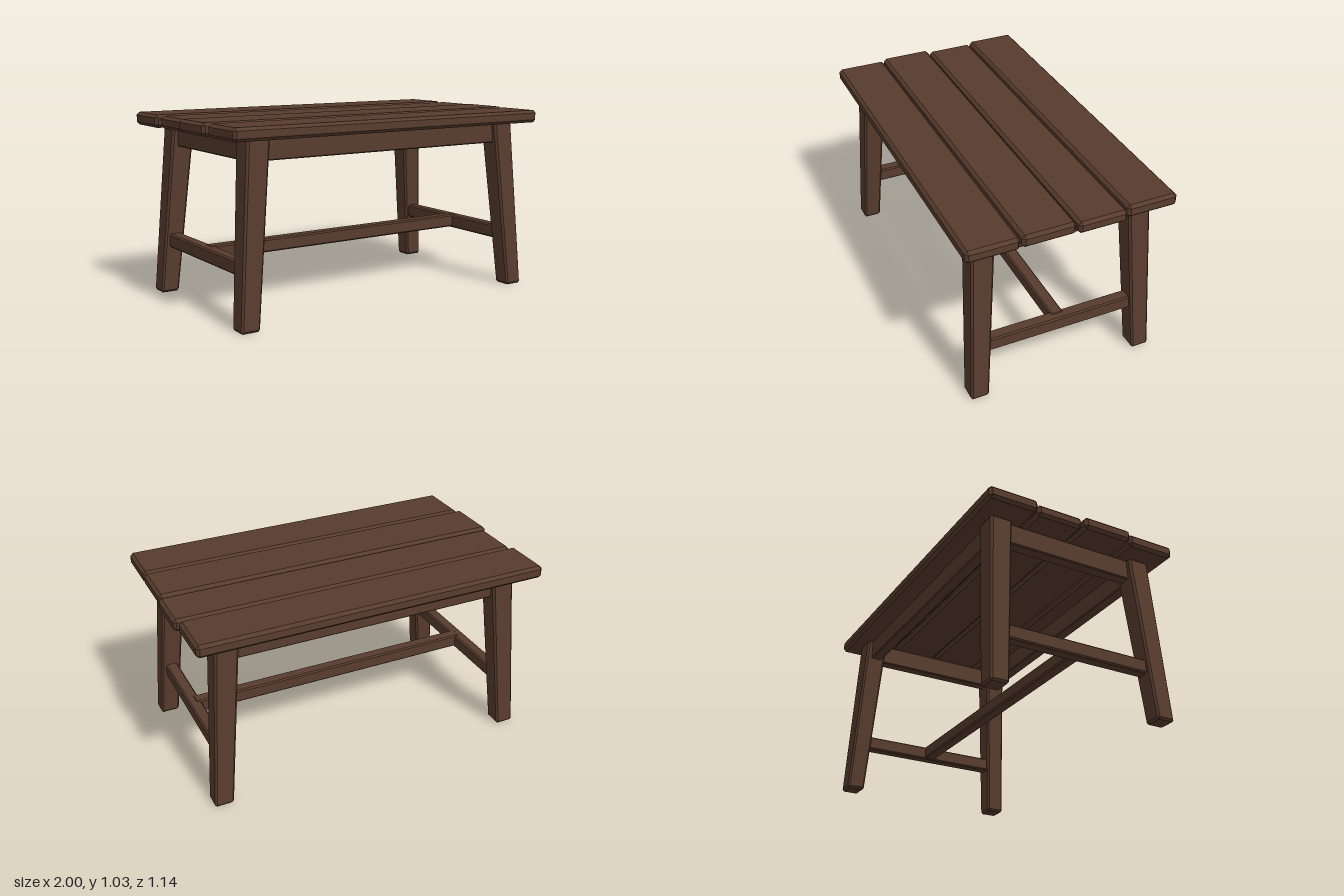
import * as THREE from 'three';
import { ConvexGeometry } from 'three/addons/geometries/ConvexGeometry.js';

const wood = new THREE.MeshStandardMaterial({ color: 0x583c2e });
wood.name = 'dark brown wood';

// Box with chamfered edges; an optional rule moves each corner point
function beam(name, [x0, x1], [y0, y1], [z0, z1], c, rule) {
  const half = [(x1 - x0) / 2, (y1 - y0) / 2, (z1 - z0) / 2];
  const centre = new THREE.Vector3((x0 + x1) / 2, (y0 + y1) / 2, (z0 + z1) / 2);
  const points = [];
  for (const sx of [-1, 1]) for (const sy of [-1, 1]) for (const sz of [-1, 1]) {
    for (let face = 0; face < 3; face++) {
      const h = half.map((v, i) => (i === face ? v : v - c));
      const p = new THREE.Vector3(sx * h[0], sy * h[1], sz * h[2]).add(centre);
      if (rule) rule(p);
      points.push(p);
    }
  }
  const mesh = new THREE.Mesh(new ConvexGeometry(points), wood);
  mesh.name = name;
  return mesh;
}

export function createModel() {
  const table = new THREE.Group();
  table.name = 'plankTable';

  // Four slightly uneven top planks: x range, y range, z range
  const planks = [
    [[-1, 0.98], [0.957, 1.028], [-0.572, -0.29]],
    [[-0.98, 1], [0.957, 1.024], [-0.28, -0.012]],
    [[-1, 0.99], [0.959, 1.028], [-0.005, 0.282]],
    [[-0.98, 0.988], [0.955, 1.025], [0.29, 0.572]],
  ];
  planks.forEach(([x, y, z], i) => table.add(beam('topPlank' + (i + 1), x, y, z, 0.016)));

  // Splayed legs, narrower at the foot
  const top = 0.96;
  for (const sx of [-1, 1]) for (const sz of [-1, 1]) {
    const name = (sz > 0 ? 'front' : 'back') + (sx > 0 ? 'Left' : 'Right') + 'Leg';
    table.add(beam(name, [-0.065, 0.065], [0, top], [-0.0625, 0.0625], 0.012, (p) => {
      const t = p.y / top;
      const width = THREE.MathUtils.lerp(0.81, 1, t);
      p.x = p.x * width + sx * THREE.MathUtils.lerp(0.882, 0.8, t);
      p.z = p.z * width + sz * THREE.MathUtils.lerp(0.48, 0.428, t);
    }));
  }

  // Aprons under the top and low stretchers between the legs
  for (const s of [-1, 1]) {
    const end = s > 0 ? 'left' : 'right';
    table.add(beam((s > 0 ? 'front' : 'back') + 'Apron',
      [-0.78, 0.78], [0.842, 0.958], [s * 0.428 - 0.034, s * 0.428 + 0.034], 0.006));
    table.add(beam(end + 'Apron',
      [s * 0.802 - 0.034, s * 0.802 + 0.034], [0.84, 0.956], [-0.41, 0.41], 0.006));
    table.add(beam(end + 'Stretcher',
      [s * 0.853 - 0.034, s * 0.853 + 0.034], [0.265, 0.343], [-0.45, 0.45], 0.008));
  }
  table.add(beam('longStretcher', [-0.85, 0.85], [0.272, 0.347], [-0.034, 0.036], 0.008));

  return table;
}
